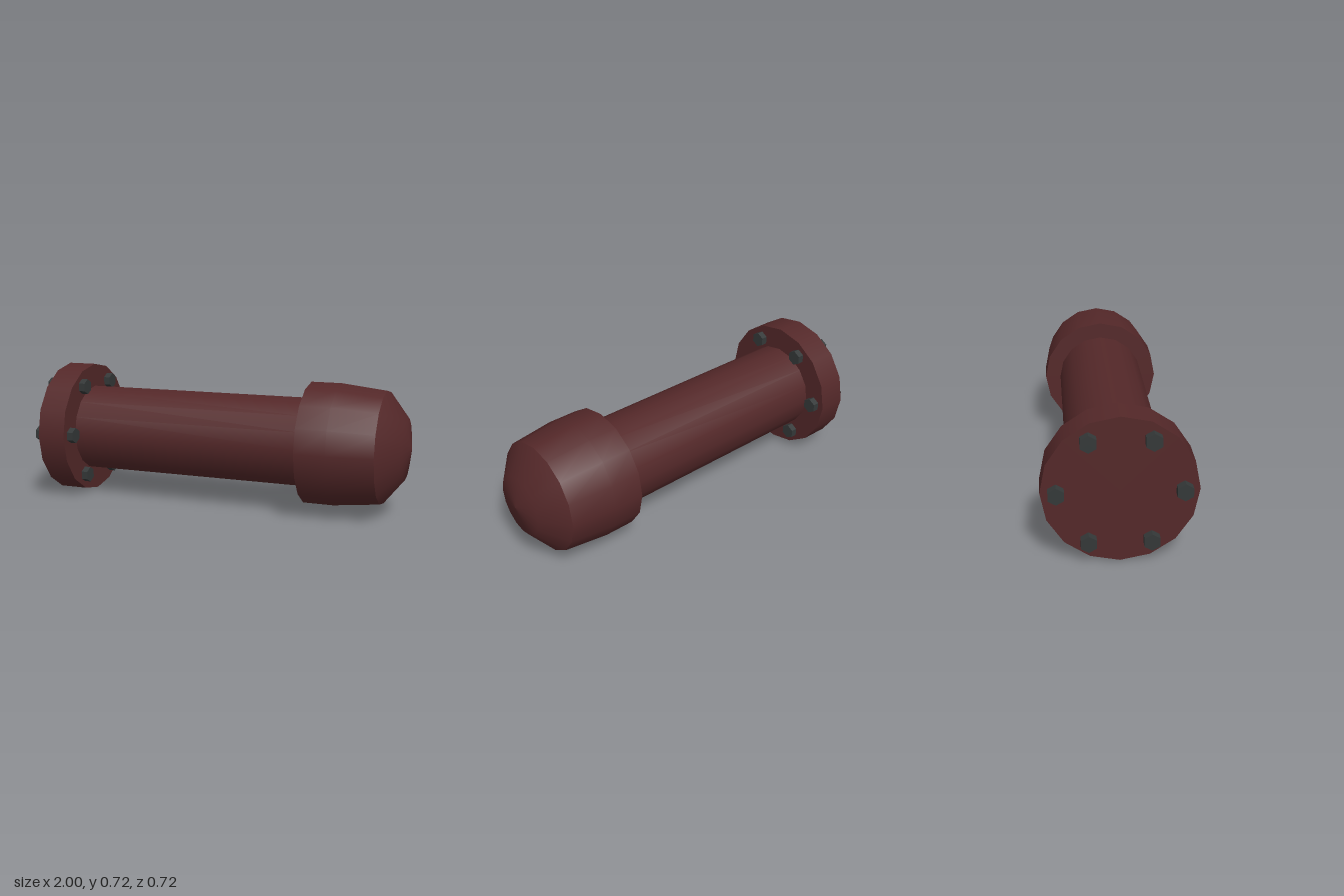
import * as THREE from 'three';

const SIDES = 16;
const AXIS_Y = 0.36;

export function createModel() {
  const model = new THREE.Group();
  model.name = 'flangedPipe';
  const paint = new THREE.MeshStandardMaterial({ color: 0x542829 });
  paint.name = 'dark red paint';
  const steel = new THREE.MeshStandardMaterial({ color: 0x343838 });
  steel.name = 'dark steel';

  // Turn a shape built along y so that it lies along x
  const add = (name, geometry, material, y = AXIS_Y, z = 0) => {
    const mesh = new THREE.Mesh(geometry.rotateZ(-Math.PI / 2), material);
    mesh.name = name;
    mesh.position.set(0, y, z);
    model.add(mesh);
    return mesh;
  };
  const rod = (radius, x0, x1, sides, open = false) =>
    new THREE.CylinderGeometry(radius, radius, x1 - x0, sides, 1, open).translate(0, (x0 + x1) / 2, 0);
  // Profile points are [radius, x]
  const turned = (points) =>
    new THREE.LatheGeometry(points.map(([r, x]) => new THREE.Vector2(r, x)), SIDES);

  // Pipe and end flange
  add('flange', rod(0.36, -0.96, -0.805, SIDES), paint);
  add('pipe', rod(0.235, -0.82, 0.48, SIDES, true), paint);

  // End cap: flat shoulder, tapered wall and domed end, with sharp edges between
  add('capShoulder', turned([[0, 0.47], [0.32, 0.47]]), paint);
  add('capWall', turned([[0.32, 0.47], [0.32, 0.63], [0.293, 0.865]]), paint);
  add('capDome', turned([[0.293, 0.865], [0.158, 0.972], [0, 1]]), paint);

  // Six hexagonal bolts through the flange
  for (let i = 0; i < 6; i++) {
    const a = (i * Math.PI) / 3;
    const hex = rod(0.042, -1, -0.77, 6).rotateY(Math.PI / 6).toNonIndexed();
    hex.computeVertexNormals();
    add('bolt', hex, steel, AXIS_Y + 0.288 * Math.sin(a), 0.288 * Math.cos(a));
  }
  return model;
}
